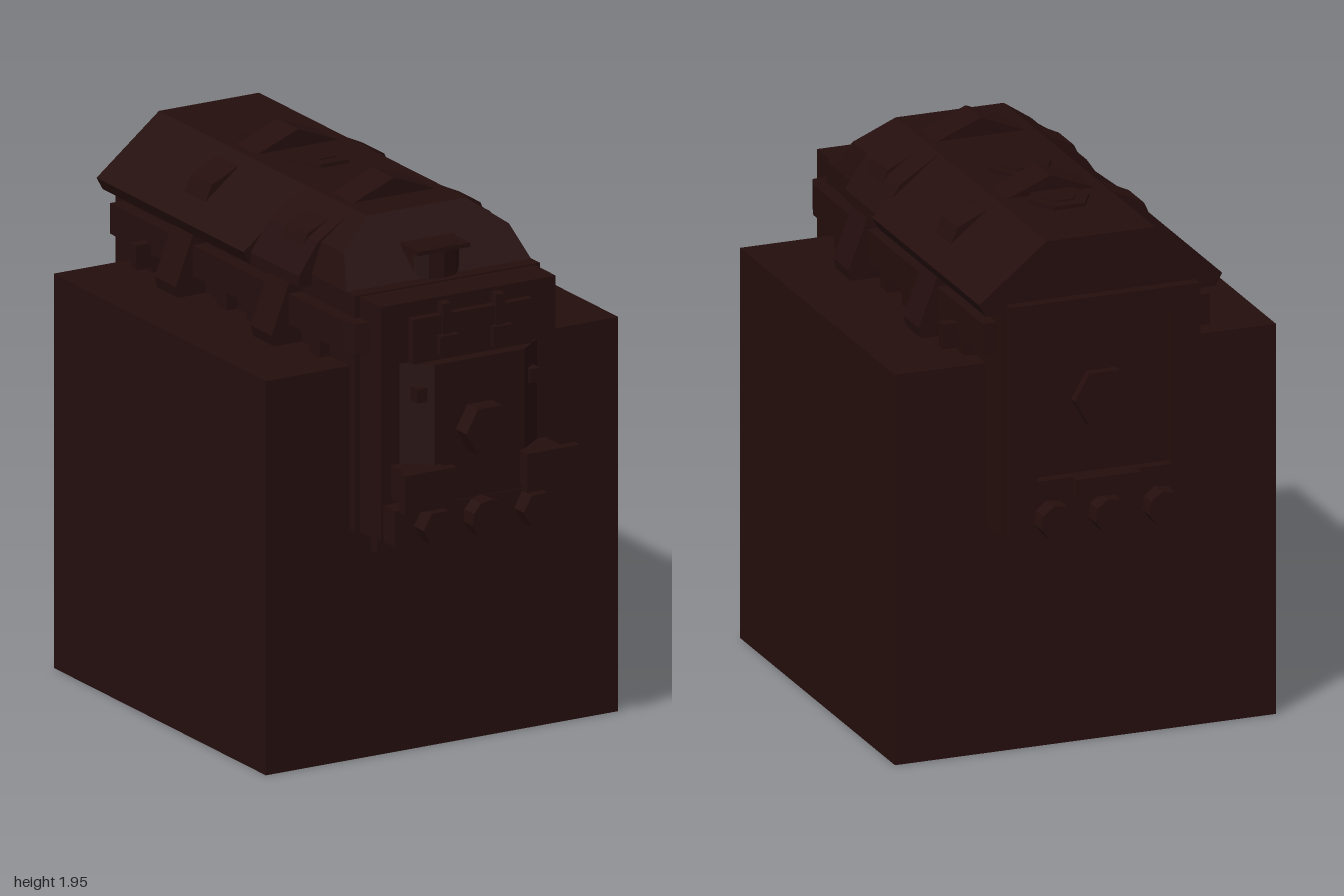
import * as THREE from 'three';

export function createModel() {
  const root = new THREE.Group();
  root.name = 'locomotiveInBlock';
  const paint = new THREE.MeshStandardMaterial({ color: 0x240e0d, flatShading: true });
  paint.name = 'darkMaroon';

  const add = (name, geo) => {
    const m = new THREE.Mesh(geo, paint);
    m.name = name;
    root.add(m);
    return m;
  };
  // box from min/max extents
  const box = (name, x0, x1, y0, y1, z0, z1) => {
    const g = new THREE.BoxGeometry(x1 - x0, y1 - y0, z1 - z0);
    g.translate((x0 + x1) / 2, (y0 + y1) / 2, (z0 + z1) / 2);
    return add(name, g);
  };
  // the same box on both sides
  const pair = (name, x0, x1, ...r) => {
    box(name + 'Left', x0, x1, ...r);
    box(name + 'Right', -x1, -x0, ...r);
  };
  // symmetric cross-section (right half, top to bottom) pulled along z
  const section = (name, half, z0, z1) => {
    const mirrored = half.filter(([x]) => x > 0).map(([x, y]) => [-x, y]).reverse();
    const s = new THREE.Shape([...half, ...mirrored].map(([x, y]) => new THREE.Vector2(x, y)));
    const g = new THREE.ExtrudeGeometry(s, { depth: z1 - z0, bevelEnabled: false });
    g.translate(0, 0, z0);
    return add(name, g);
  };
  // plan outline given as [x, z], raised from y0 to y1
  const slab = (name, outline, y0, y1) => {
    const s = new THREE.Shape(outline.map(([x, z]) => new THREE.Vector2(x, -z)));
    const g = new THREE.ExtrudeGeometry(s, { depth: y1 - y0, bevelEnabled: false });
    g.rotateX(-Math.PI / 2);
    g.translate(0, y0, 0);
    return add(name, g);
  };
  // cylinder lying along z
  const rod = (name, x, y, z0, z1, r, sides) => {
    const g = new THREE.CylinderGeometry(r, r, z1 - z0, sides);
    g.rotateY(Math.PI / 6);
    g.rotateX(Math.PI / 2);
    g.translate(x, y, (z0 + z1) / 2);
    return add(name, g);
  };

  // Large block around the engine
  box('block', -0.705, 0.705, 0, 1.42, -0.75, 0.665);

  // Engine body
  box('body', -0.37, 0.37, 0.83, 1.68, -0.89, 0.70);
  box('nose', -0.35, 0.35, 0.83, 1.675, 0.70, 0.84);

  // Side beams with chamfered front ends, and their brackets
  for (const s of [1, -1]) {
    const outline = [[0.3, -0.85], [0.42, -0.85], [0.42, 0.70], [0.40, 0.755], [0.34, 0.77], [0.3, 0.77]];
    slab('sideBeam', outline.map(([x, z]) => [s * x, z]), 1.49, 1.60);
  }
  for (const z of [0.5, 0.08, -0.12, -0.62]) pair('beamBracket', 0.36, 0.41, 1.41, 1.5, z - 0.035, z + 0.035);
  pair('sideLug', 0.4, 0.475, 1.44, 1.53, -0.62, -0.58);

  // Roof
  section('roof', [[0.2, 1.885], [0.45, 1.685], [0.425, 1.64], [0.36, 1.64]], -0.89, 0.09);
  section('frontRoof', [[0.2, 1.885], [0.345, 1.79], [0.42, 1.68], [0.42, 1.64]], 0.09, 0.41);

  // Sloping front of the roof: lower points lean further forward
  const hood = section('hood', [[0.2, 1.885], [0.33, 1.79], [0.37, 1.675]], 0.41, 0.49);
  const p = hood.geometry.attributes.position;
  for (let i = 0; i < p.count; i++)
    if (p.getZ(i) > 0.48) p.setZ(i, 0.49 + (1.885 - p.getY(i)) * 0.75);
  hood.geometry.computeVertexNormals();

  // Hoops over the roof
  for (const z of [0.275, -0.365])
    section('roofHoop', [[0, 1.95], [0.25, 1.85], [0.345, 1.805], [0.42, 1.64], [0.49, 1.46], [0.475, 1.4]], z - 0.07, z + 0.07);

  // Hexagonal roof hatches with raised caps
  for (const z of [-0.505, -0.15]) {
    for (const [name, r, y] of [['roofHatch', 0.115, 1.888], ['hatchCap', 0.065, 1.893]]) {
      const hex = add(name, new THREE.CylinderGeometry(r, r, 0.02, 6));
      hex.rotation.y = Math.PI / 6;
      hex.position.set(0, y, z);
    }
  }

  // Headlamp above the nose
  const lamp = add('headlamp', new THREE.CylinderGeometry(0.105, 0.105, 0.115, 12));
  lamp.position.set(0, 1.735, 0.575);
  box('headlampHood', -0.105, 0.105, 1.775, 1.79, 0.5, 0.68);

  // Chamfered front door panel
  slab('frontDoor', [[-0.275, 0.84], [-0.18, 0.915], [0.18, 0.915], [0.275, 0.84]], 0.96, 1.46);
  pair('doorHandle', 0.205, 0.245, 1.33, 1.38, 0.84, 0.91);
  rod('doorBoss', 0, 1.215, 0.9, 0.985, 0.095, 6);
  box('noseBrow', -0.24, 0.24, 1.46, 1.62, 0.83, 0.87);
  pair('markerLamp', 0.07, 0.145, 1.48, 1.55, 0.84, 0.895);
  pair('markerStem', 0.09, 0.125, 1.55, 1.66, 0.83, 0.88);

  // Front buffers, coupler and steps
  pair('bufferStem', 0.16, 0.31, 0.98, 1.10, 0.84, 0.97);
  pair('bufferPlate', 0.14, 0.35, 0.97, 1.11, 0.965, 1.0);
  box('frontBeam', -0.34, 0.34, 0.83, 0.96, 0.8, 0.92);
  rod('frontCoupler', 0, 0.895, 0.9, 0.985, 0.07, 10);
  for (const x of [-0.2, 0.2]) rod('frontHose', x, 0.895, 0.9, 0.985, 0.065, 6);
  pair('step', 0.21, 0.285, 0.74, 0.84, 0.64, 0.71);

  // Rear wall: frame around a recessed panel
  pair('rearPost', 0.25, 0.35, 0.83, 1.675, -0.93, -0.88);
  box('rearHeader', -0.25, 0.25, 1.58, 1.675, -0.93, -0.88);
  box('rearSill', -0.25, 0.25, 0.83, 1.03, -0.93, -0.88);
  rod('rearBoss', 0, 1.3, -0.925, -0.88, 0.11, 6);
  box('rearLedge', -0.12, 0.12, 0.96, 1.03, -0.965, -0.92);

  // Rear buffers
  for (const x of [-0.2, 0, 0.2]) rod('rearBuffer', x, 0.895, -1, -0.92, 0.065, 8);

  return root;
}
